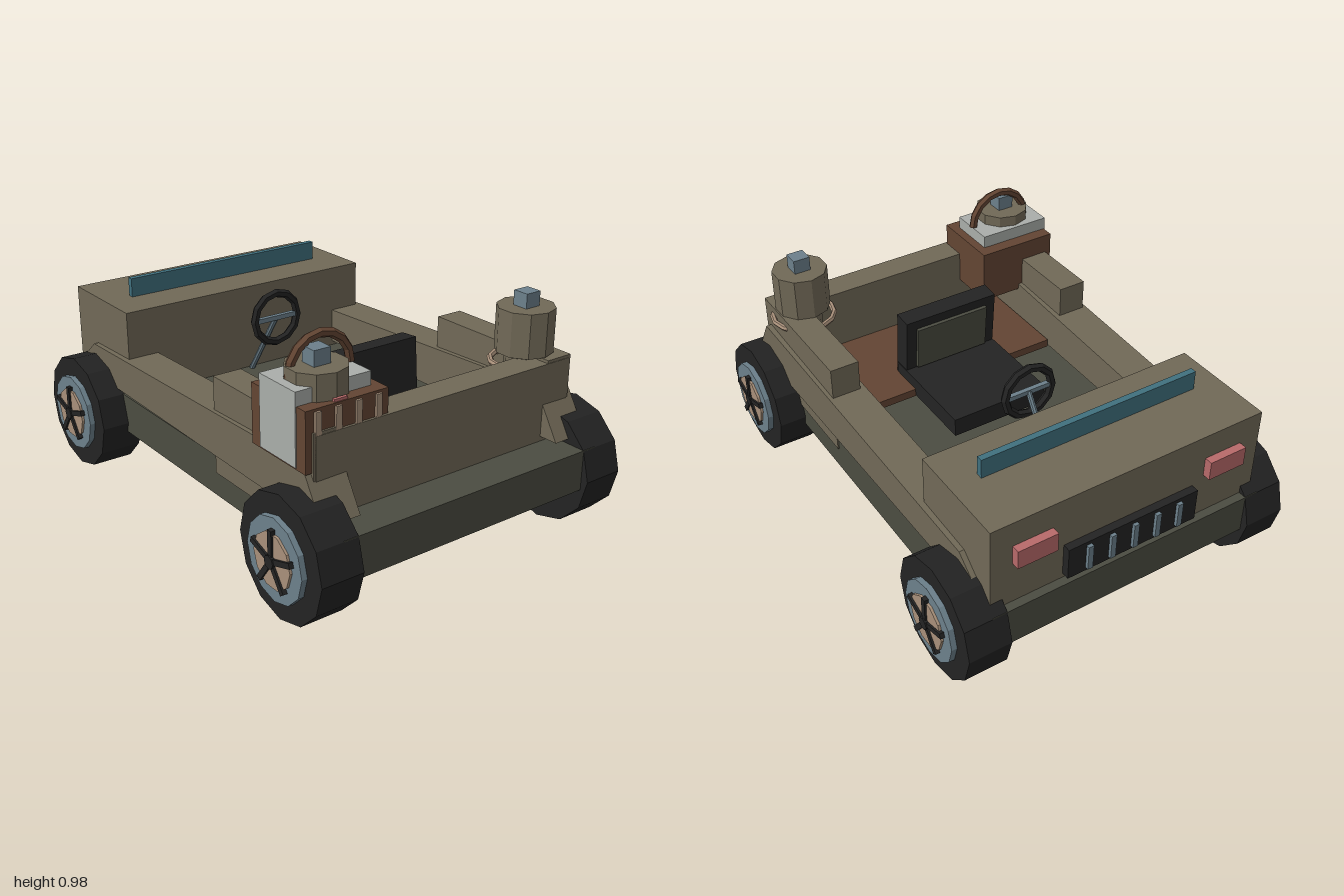
import * as THREE from 'three';

const mat = (name, color, side = THREE.FrontSide) => {
  const m = new THREE.MeshStandardMaterial({ color, flatShading: true, side });
  m.name = name;
  return m;
};

export function createModel() {
  const root = new THREE.Group();
  root.name = 'buggy';
  const body = mat('khaki body', 0x716957);
  const olive = mat('dark olive', 0x4b4c41);
  const black = mat('black', 0x232323);
  const brown = mat('leather brown', 0x634533);
  const steel = mat('blue steel', 0x6c808b);
  const tan = mat('tan', 0xa8907a);
  const teal = mat('teal glass', 0x40707e);
  const red = mat('lamp red', 0xb86a6a);
  const white = mat('pale grey', 0xaaaeaa);

  const add = (name, geo, m, parent = root) => {
    const mesh = new THREE.Mesh(geo, m);
    mesh.name = name;
    parent.add(mesh);
    return mesh;
  };
  // Box given by its extents on each axis
  const box = (name, m, [x0, x1], [y0, y1], [z0, z1], parent = root) => {
    const mesh = add(name, new THREE.BoxGeometry(x1 - x0, y1 - y0, z1 - z0), m, parent);
    mesh.position.set((x0 + x1) / 2, (y0 + y1) / 2, (z0 + z1) / 2);
    return mesh;
  };
  const cyl = (name, m, r, h, sides, pos, parent = root) => {
    const mesh = add(name, new THREE.CylinderGeometry(r, r, h, sides), m, parent);
    mesh.position.set(...pos);
    return mesh;
  };

  // Chassis, tail panel and hood
  box('chassis', olive, [-0.6, 0.6], [0.2, 0.365], [-0.97, 0.97]);
  box('tailPanel', body, [-0.597, 0.597], [0.365, 0.68], [0.69, 0.81]);
  box('hood', body, [-0.59, 0.59], [0.365, 0.735], [-0.935, -0.495]);
  box('windscreen', teal, [-0.47, 0.47], [0.72, 0.815], [-0.692, -0.666]);
  box('rearFloor', brown, [-0.455, 0.455], [0.385, 0.42], [0.23, 0.69]);

  // Sloping side panels, wider at the tail
  const profile = new THREE.Shape([
    [0.89, 0.385], [0.77, 0.58], [-0.77, 0.525], [-0.86, 0.45], [-0.87, 0.385],
  ].map(([z, y]) => new THREE.Vector2(-z, y)));
  for (const s of [1, -1]) {
    const side = new THREE.ExtrudeGeometry(profile, { depth: 0.16, bevelEnabled: false });
    side.translate(0, 0, -0.08).rotateY(Math.PI / 2);
    const p = add('sidePanel', side, body);
    p.position.x = s * 0.54;
    p.rotation.y = s * 0.012;
    const x = [0.485, 0.606].map((v) => v * s).sort((a, b) => a - b);
    box('sideBox', body, x, [0.3, 0.692], [0.19, 0.808]);
  }

  // Wheels with five spokes
  for (const s of [1, -1]) for (const z of [0.76, -0.76]) {
    const wheel = new THREE.Group();
    wheel.name = 'wheel';
    wheel.position.set(s * 0.627, 0.242, z);
    wheel.rotation.z = -s * Math.PI / 2;
    root.add(wheel);
    cyl('tyre', black, 0.242, 0.175, 12, [0, 0, 0], wheel);
    cyl('rim', steel, 0.162, 0.03, 12, [0, 0.095, 0], wheel);
    cyl('hubDisc', tan, 0.108, 0.03, 10, [0, 0.105, 0], wheel);
    cyl('hubCap', black, 0.026, 0.03, 8, [0, 0.118, 0], wheel);
    for (let i = 0; i < 5; i++) {
      const spoke = new THREE.BoxGeometry(0.12, 0.02, 0.022);
      spoke.translate(0.06, 0.118, 0);
      spoke.rotateY(i * Math.PI * 2 / 5 + (s > 0 ? Math.PI : 0));
      add('spoke', spoke, black, wheel);
    }
  }

  // Seat
  box('seatCushion', black, [-0.215, 0.215], [0.39, 0.47], [-0.09, 0.38]);
  const seatBack = new THREE.Group();
  seatBack.name = 'seatBack';
  seatBack.position.set(0, 0.41, 0.35);
  seatBack.rotation.x = -0.08;
  root.add(seatBack);
  box('backrest', black, [-0.212, 0.212], [0, 0.305], [-0.04, 0.04], seatBack);
  box('backrestPad', olive, [-0.165, 0.165], [0.07, 0.265], [-0.055, -0.03], seatBack);

  // Steering wheel and column
  const wheelY = 0.655, wheelZ = -0.285;
  add('steeringWheel', new THREE.TorusGeometry(0.107, 0.018, 6, 12), black)
    .position.set(0, wheelY, wheelZ);
  box('steeringCrossbar', steel, [-0.1, 0.1], [wheelY - 0.01, wheelY + 0.01], [-0.295, -0.275]);
  const top = new THREE.Vector3(0, wheelY, wheelZ);
  const foot = new THREE.Vector3(0, 0.36, -0.48);
  const column = cyl('steeringColumn', steel, 0.012, top.distanceTo(foot), 8, [0, 0, 0]);
  column.position.copy(top).add(foot).multiplyScalar(0.5);
  column.quaternion.setFromUnitVectors(new THREE.Vector3(0, 1, 0), top.clone().sub(foot).normalize());

  // Lanterns on the tail corners
  for (const s of [1, -1]) {
    const x = s * 0.493, z = 0.67;
    cyl('lanternNeck', body, 0.075, 0.24, 10, [x, 0.58, z]);
    cyl('lanternBody', body, 0.114, 0.178, 10, [x, 0.784, z]);
    box('lanternCap', steel, [x - 0.035, x + 0.035], [0.86, 0.932], [z - 0.034, z + 0.034]);
  }
  const ring = add('lanternRing', new THREE.TorusGeometry(0.128, 0.012, 6, 14), tan);
  ring.rotation.x = Math.PI / 2;
  ring.position.set(0.495, 0.652, 0.67);

  // Basket with inner crate, straps and handle
  box('basket', brown, [-0.633, -0.285], [0.545, 0.775], [0.485, 0.8]);
  box('crate', white, [-0.638, -0.322], [0.553, 0.828], [0.54, 0.75]);
  for (const x of [-0.585, -0.5, -0.415, -0.33])
    box('basketStrap', tan, [x - 0.012, x + 0.012], [0.555, 0.765], [0.8, 0.809]);
  box('basketTag', red, [-0.51, -0.455], [0.765, 0.785], [0.782, 0.795]);
  const handle = add('basketHandle', new THREE.TorusGeometry(0.13, 0.018, 6, 8, Math.PI), brown);
  handle.material = brown;
  handle.position.set(-0.457, 0.832, 0.64);

  // Lamps and grille on the hood
  for (const [a, b] of [[-0.5, -0.335], [0.335, 0.5]])
    box('lamp', red, [a, b], [0.55, 0.63], [-0.968, -0.93]);
  box('grille', black, [-0.287, 0.287], [0.385, 0.522], [-0.967, -0.93]);
  for (let i = -2; i <= 2; i++)
    box('grilleBar', steel, [i * 0.1 - 0.011, i * 0.1 + 0.011], [0.4, 0.507], [-0.981, -0.96]);

  return root;
}
